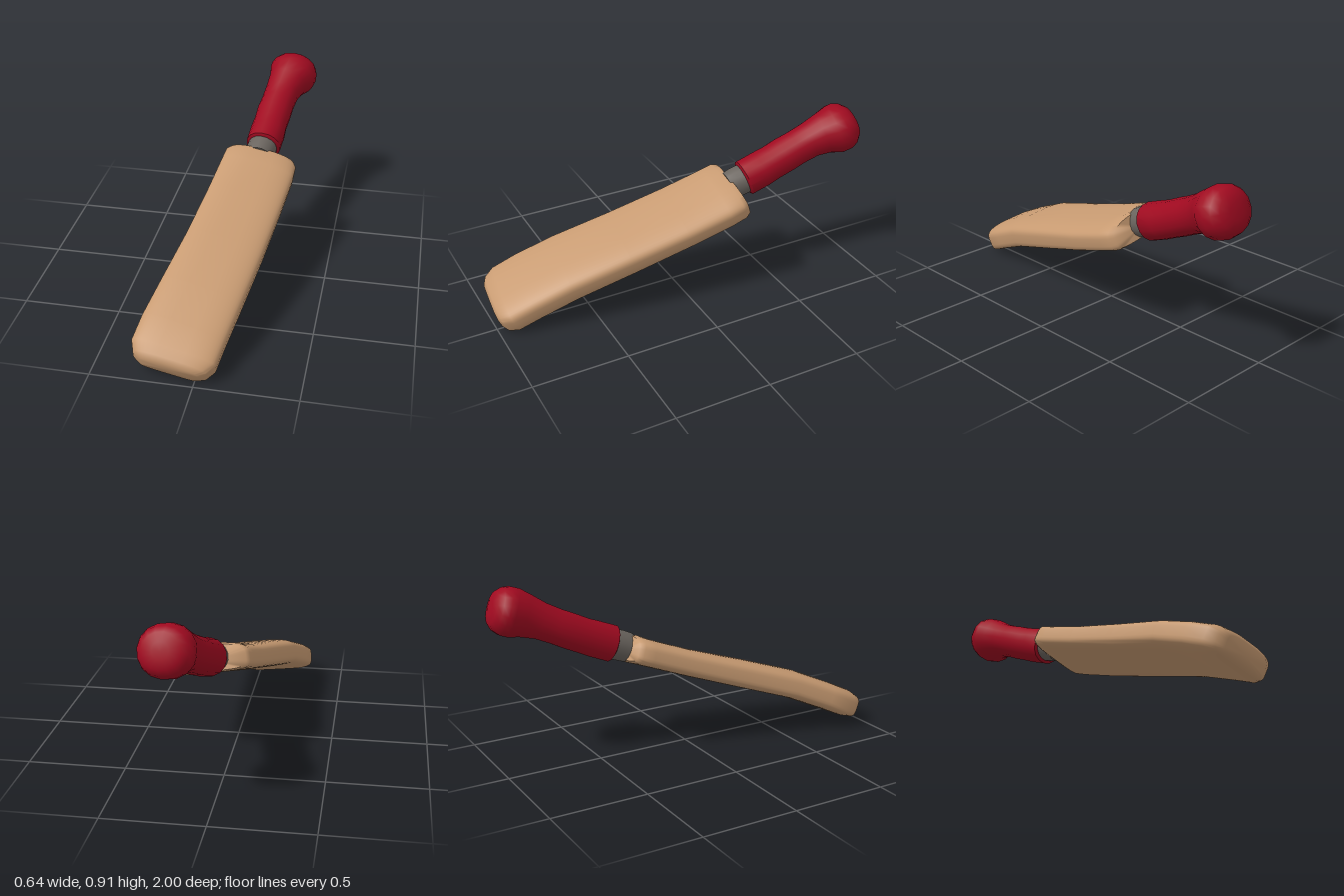
import * as THREE from 'three';
import { toCreasedNormals } from 'three/addons/utils/BufferGeometryUtils.js';

// Sweeps a superellipse section along stations [x, y, z, width, height, roll, crown], with closed ends.
// Sections stand square to the path; roll tips the +x side down and crown swells the upper face.
function loft(stations, power, sides, crease) {
  const centres = stations.map(([x, y, z]) => new THREE.Vector3(x, y, z));
  const last = centres.length - 1;
  const positions = [], index = [];
  centres.forEach((centre, i) => {
    const [, , , width, height, roll = 0.15, crown = 0] = stations[i];
    const tangent = centres[Math.min(i + 1, last)].clone()
      .sub(centres[Math.max(i - 1, 0)]).normalize();
    const side = new THREE.Vector3(1, -roll, 0.06);
    side.addScaledVector(tangent, -side.dot(tangent)).normalize();
    const up = new THREE.Vector3().crossVectors(side, tangent);
    for (let j = 0; j < sides; j++) {
      const a = ((j + 0.5) / sides) * Math.PI * 2;
      const c = Math.cos(a), s = Math.sin(a);
      const u = Math.sign(c) * Math.abs(c) ** (2 / power);
      let v = Math.sign(s) * Math.abs(s) ** (2 / power) * height / 2;
      if (s > 0) v += crown * (1 - u * u);
      const p = centre.clone().addScaledVector(side, u * width / 2).addScaledVector(up, v);
      positions.push(p.x, p.y, p.z);
    }
  });
  const start = positions.length / 3, end = start + 1;
  positions.push(...centres[0].toArray(), ...centres[last].toArray());
  for (let j = 0; j < sides; j++) {
    const k = (j + 1) % sides;
    for (let i = 0; i < last; i++) {
      const a = i * sides + j, b = i * sides + k;
      index.push(a, a + sides, b, b, a + sides, b + sides);
    }
    index.push(start, j, k, end, last * sides + k, last * sides + j);
  }
  const geometry = new THREE.BufferGeometry();
  geometry.setAttribute('position', new THREE.Float32BufferAttribute(positions, 3));
  geometry.setIndex(index);
  return toCreasedNormals(geometry, crease);
}

function material(name, color) {
  const m = new THREE.MeshStandardMaterial({ color });
  m.name = name;
  return m;
}

export function createModel() {
  const group = new THREE.Group();
  group.name = 'bat';
  const add = (name, geometry, mat) => {
    const mesh = new THREE.Mesh(geometry, mat);
    mesh.name = name;
    group.add(mesh);
  };

  // Curved wooden blade with a crowned upper face, from the rounded toe back to the shoulders
  add('blade', loft([
    [-0.122, 0.073, 0.972, 0.29, 0.09, 0.13, 0.008],
    [-0.119, 0.082, 0.952, 0.365, 0.122, 0.13, 0.012],
    [-0.111, 0.104, 0.905, 0.422, 0.138, 0.13, 0.015],
    [-0.09, 0.157, 0.79, 0.425, 0.138, 0.14, 0.016],
    [-0.046, 0.239, 0.6, 0.418, 0.138, 0.15, 0.016],
    [0.01, 0.335, 0.3, 0.408, 0.134, 0.16, 0.016],
    [0.056, 0.43, 0, 0.403, 0.126, 0.18, 0.016],
    [0.088, 0.506, -0.22, 0.4, 0.122, 0.19, 0.021],
    [0.094, 0.53, -0.285, 0.392, 0.122, 0.2, 0.026],
    [0.096, 0.539, -0.31, 0.36, 0.106, 0.2, 0.026],
  ], 4.5, 40, 1.2), material('wood', 0xc89b72));

  // Bare collar between blade and grip
  add('neck', loft([
    [0.084, 0.552, -0.295, 0.157, 0.155],
    [0.088, 0.568, -0.335, 0.16, 0.16],
    [0.096, 0.589, -0.4, 0.16, 0.16],
  ], 2, 16, 0.75), material('grey', 0x6a645e));

  // Wrapped grip, flaring into the flat-ended knob
  add('grip', loft([
    [0.094, 0.581, -0.372, 0.165, 0.165],
    [0.095, 0.584, -0.38, 0.19, 0.192],
    [0.104, 0.619, -0.47, 0.194, 0.19],
    [0.11, 0.646, -0.535, 0.186, 0.184],
    [0.118, 0.678, -0.605, 0.192, 0.186],
    [0.128, 0.708, -0.67, 0.186, 0.182],
    [0.141, 0.743, -0.745, 0.192, 0.188],
    [0.16, 0.774, -0.815, 0.22, 0.22],
    [0.178, 0.793, -0.87, 0.27, 0.25],
    [0.185, 0.806, -0.908, 0.274, 0.248],
    [0.191, 0.818, -0.942, 0.24, 0.22],
    [0.194, 0.827, -0.967, 0.18, 0.168],
    [0.195, 0.83, -0.976, 0.08, 0.08],
  ], 2.1, 16, 0.9), material('red', 0xa00a20));

  return group;
}
